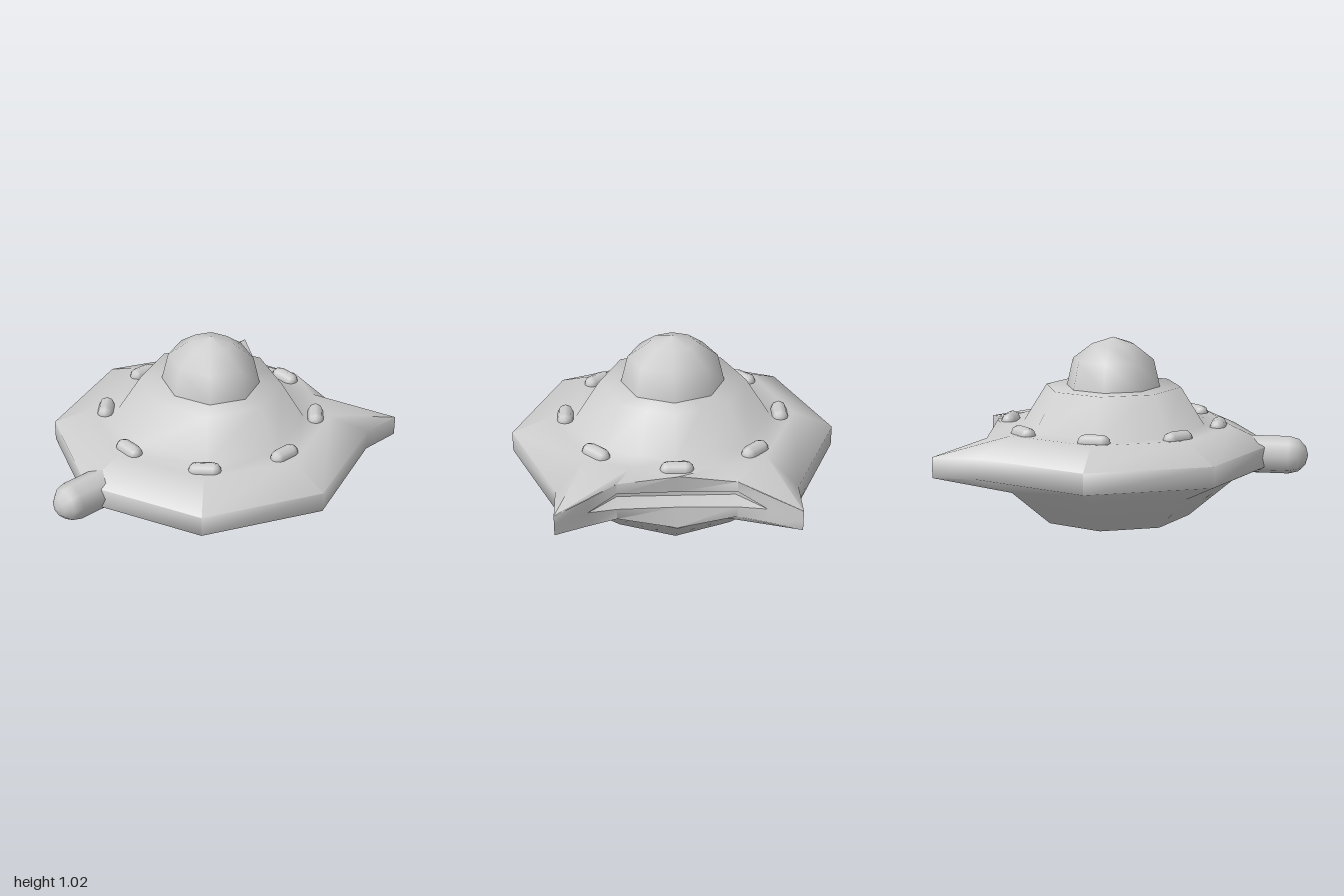
import * as THREE from 'three';
import { toCreasedNormals } from 'three/addons/utils/BufferGeometryUtils.js';

const CZ = -0.115; // centre of the saucer in z
const material = new THREE.MeshStandardMaterial({ color: 0xcccccc });

// Skins a grid of points (rows upward, columns to the right), skipping empty triangles.
function skin(rows, out, skip = () => false) {
  const tri = (a, b, c) => {
    const n = b.clone().sub(a).cross(c.clone().sub(a));
    if (n.length() > 1e-6) for (const p of [a, b, c]) out.push(p.x, p.y, p.z);
  };
  for (let i = 0; i < rows.length - 1; i++) {
    for (let j = 0; j < rows[i].length - 1; j++) {
      if (skip(i, j)) continue;
      const a = rows[i][j], b = rows[i][j + 1], c = rows[i + 1][j + 1], d = rows[i + 1][j];
      tri(a, b, c);
      tri(a, c, d);
    }
  }
}

const V = (x, y, z) => new THREE.Vector3(x, y, z);
// Completes a half row (from the +x side to the middle) by mirroring it.
const mirrorRow = (half) => [...half, ...half.slice(0, -1).reverse().map((p) => V(-p.x, p.y, p.z))];

// One octagonal ring; the extra columns at the back carry the fins and the notch.
function ring(r, y, rz = r) {
  const chord = Math.cos(Math.PI / 8);
  const stations = [[0, 1], [45, 1], [90, 1], [135, 1], [135, 1], [157.5, chord], [180, 1]];
  return mirrorRow(stations.map(([deg, k]) => {
    const a = THREE.MathUtils.degToRad(deg);
    return V(Math.sin(a) * r * k, y, CZ + Math.cos(a) * rz * k);
  }));
}

// Outer rim ring, pulled out into two fins with a notch between them.
function rim(y, yMid, yBack) {
  const half = ring(0.91, y).slice(0, 7);
  half[4] = V(0.643, y, -1);
  half[5] = V(0.32, yMid, -0.78);
  half[6] = V(0, yBack, -0.795);
  return mirrorRow(half);
}

function hullGeometry() {
  const out = [];
  const rows = [
    ring(0, 0), ring(0.44, 0), ring(0.685, 0.21),
    rim(0.315, 0.265, 0.21), rim(0.43, 0.48, 0.53),
    ring(0.685, 0.53), ring(0.545, 0.53, 0.525), ring(0.41, 0.745, 0.39), ring(0, 0.745),
  ];
  // the rim band stays open between the fins
  skin(rows, out, (i, j) => i === 3 && j >= 4 && j <= 7);

  // back wall between the fins, with a recessed slot
  const S = [0.47, -0.882];
  const wall = (tip, s, mid, back, zMid, zBack) => mirrorRow([
    V(0.643, tip, -1), V(S[0], s, S[1]), V(0.32, mid, zMid), V(0, back, zBack),
  ]);
  skin([
    wall(0.315, 0.29, 0.265, 0.21, -0.78, -0.795),
    wall(0.3725, 0.3725, 0.325, 0.325, -0.78, -0.77),
    wall(0.3725, 0.3725, 0.33, 0.33, -0.66, -0.66),
    wall(0.3725, 0.3725, 0.415, 0.415, -0.66, -0.66),
    wall(0.3725, 0.3725, 0.42, 0.42, -0.78, -0.77),
    wall(0.43, 0.455, 0.48, 0.53, -0.78, -0.795),
  ], out);

  const g = new THREE.BufferGeometry();
  g.setAttribute('position', new THREE.Float32BufferAttribute(out, 3));
  return toCreasedNormals(g, 1.2);
}

export function createModel() {
  const model = new THREE.Group();
  model.name = 'flyingSaucer';
  const add = (name, geometry, parent = model) => {
    const mesh = new THREE.Mesh(geometry, material);
    mesh.name = name;
    parent.add(mesh);
    return mesh;
  };

  add('hull', hullGeometry());

  // cockpit dome
  const profile = [[0.29, 0.74], [0.25, 0.9], [0.13, 0.985], [0, 1.025]]
    .map(([r, y]) => new THREE.Vector2(r, y));
  const dome = add('dome', new THREE.LatheGeometry(profile, 8));
  dome.scale.z = 0.935;
  dome.position.z = CZ;

  // ring of lights on the upper deck
  const lights = new THREE.Group();
  lights.name = 'lights';
  lights.position.set(0, 0.53, CZ);
  model.add(lights);
  const lightGeometry = new THREE.CapsuleGeometry(0.045, 0.09, 3, 8).rotateZ(Math.PI / 2);
  for (let i = 0; i < 8; i++) {
    const a = (i * Math.PI) / 4;
    const light = add('light', lightGeometry, lights);
    light.position.set(Math.sin(a) * 0.605, 0, Math.cos(a) * 0.605);
    light.rotation.y = a;
  }

  // front cannon
  const cannon = add('cannon', new THREE.CapsuleGeometry(0.108, 0.3, 3, 8).rotateX(Math.PI / 2));
  cannon.position.set(0, 0.373, 0.742);

  return model;
}
